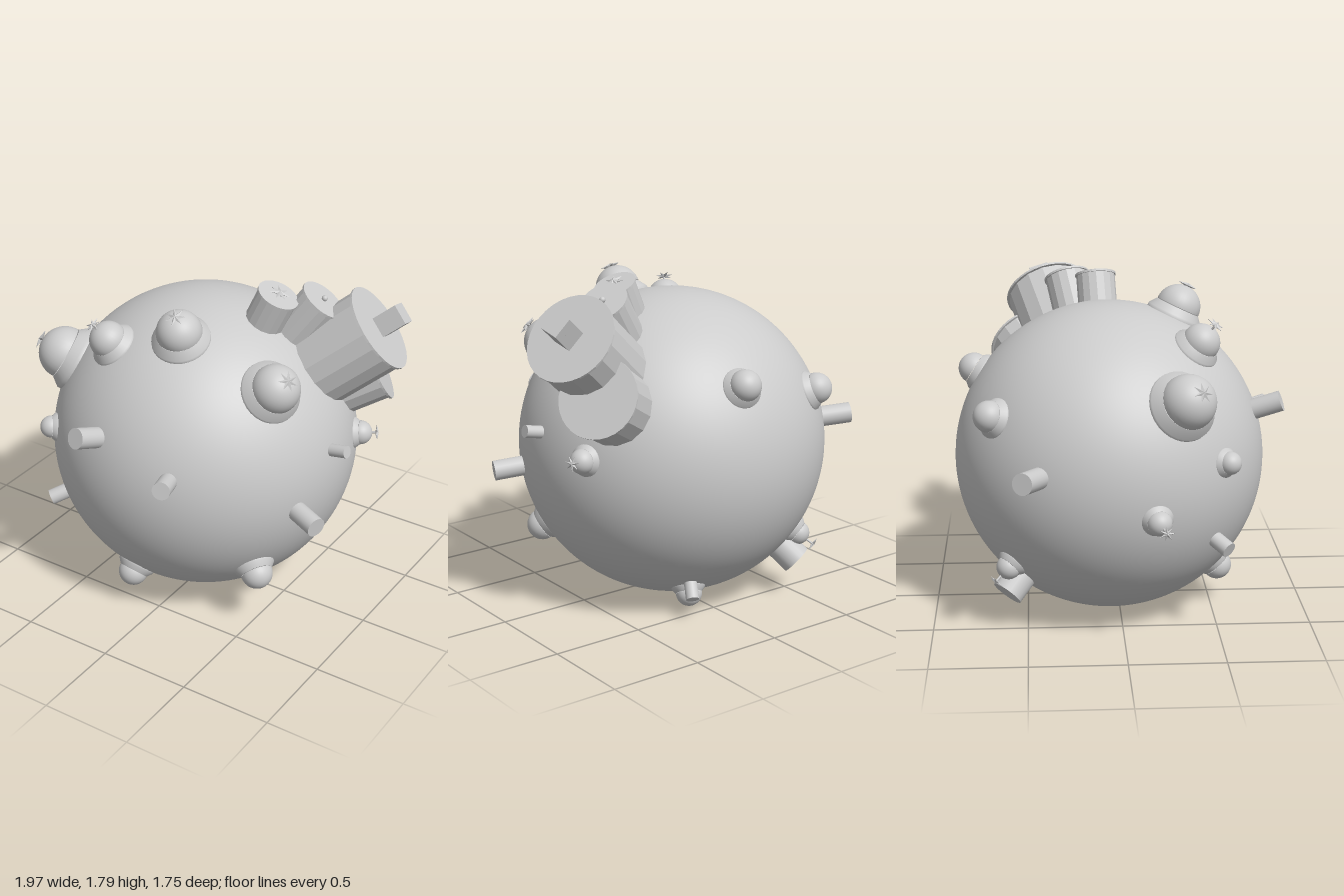
import * as THREE from 'three';

const CENTRE = new THREE.Vector3(-0.055, 0.835, -0.05);
const R = 0.83;
const UP = new THREE.Vector3(0, 1, 0);
const smooth = new THREE.MeshStandardMaterial({ color: 0xcccccc, side: THREE.DoubleSide });
const faceted = new THREE.MeshStandardMaterial({ color: 0xcccccc, flatShading: true });

export function createModel() {
  const model = new THREE.Group();
  model.name = 'studdedPlanet';

  function add(parent, name, geometry, y = 0, material = smooth) {
    const mesh = new THREE.Mesh(geometry, material);
    mesh.name = name;
    mesh.position.y = y;
    parent.add(mesh);
    return mesh;
  }

  // A group whose local +y points outward from the planet's centre
  function outward(name, dir) {
    const group = new THREE.Group();
    group.name = name;
    group.position.copy(CENTRE);
    group.quaternion.setFromUnitVectors(UP, new THREE.Vector3(...dir).normalize());
    model.add(group);
    return group;
  }

  // Seven-pointed star, a flat double pyramid
  function starGeometry(radius) {
    const geo = new THREE.SphereGeometry(radius, 14, 2);
    const p = geo.attributes.position, uv = geo.attributes.uv;
    for (let i = 0; i < p.count; i++) {
      const k = Math.round(uv.getX(i) * 14) % 2 ? 0.38 : 1;
      p.setXYZ(i, p.getX(i) * k, p.getY(i) * 0.22, p.getZ(i) * k);
    }
    return geo;
  }

  // Half-ball dome with a flared skirt, optionally topped with a star on a stem
  function dome(dir, r, starAt = 0, starR = 0.045) {
    const group = outward('dome', dir);
    const profile = [[1.28, -0.5], [1.27, -0.36], [1.0, -0.02]].map(([a, b]) => new THREE.Vector2(a * r, b * r));
    const centre = R + 0.38 * r;
    add(group, 'skirt', new THREE.LatheGeometry(profile, 32), centre);
    add(group, 'cap', new THREE.SphereGeometry(r, 32, 12, 0, Math.PI * 2, 0, Math.PI / 2), centre);
    if (starAt) {
      const base = centre + r * 0.9;
      const height = Math.max(starAt - base, 0.02);
      add(group, 'stem', new THREE.CylinderGeometry(0.006, 0.006, height, 8), base + height / 2);
      add(group, 'star', starGeometry(starR), starAt, faceted);
    }
  }

  // Round peg standing out to the given distance from the centre
  function peg(dir, r, end) {
    const group = outward('peg', dir);
    add(group, 'post', new THREE.CylinderGeometry(r, r, end - 0.75, 24), (end + 0.75) / 2);
  }

  // Faceted tower with a thin overhanging lid
  function tower(dir, r, end, sides = 16) {
    const group = outward('tower', dir);
    add(group, 'wall', new THREE.CylinderGeometry(r * 0.97, r * 0.97, end - 0.7, sides), (end + 0.7) / 2, faceted);
    add(group, 'lid', new THREE.CylinderGeometry(r * 1.02, r * 1.02, 0.012, sides * 2), end - 0.006, faceted);
    return group;
  }

  add(model, 'planet', new THREE.SphereGeometry(R, 96, 64)).position.copy(CENTRE);

  // Large starred domes
  dome([0.1, 0.9, 0.43], 0.12, 1.0, 0.055);
  dome([-0.755, 0.51, 0.41], 0.143, 1.035, 0.055);
  dome([-0.345, 0.775, 0.53], 0.1, 1.0, 0.05);
  dome([0.687, 0.652, 0.319], 0.128, 1.02, 0.055);

  // Small starred domes
  dome([-0.957, -0.15, 0.248], 0.065, 0.97, 0.042);
  dome([0.926, 0.11, -0.36], 0.065, 0.945, 0.042);
  dome([-0.52, -0.565, -0.64], 0.065, 0.96, 0.04);

  // Plain domes
  dome([-0.605, 0.115, 0.58], 0.06);
  dome([-0.085, -0.615, 0.58], 0.08);
  dome([0.585, -0.485, 0.4], 0.085);
  dome([0.085, 0.46, -0.72], 0.083);
  dome([-0.475, 0.34, -0.63], 0.083);
  dome([0.2, -0.72, -0.42], 0.07);

  // Pegs
  peg([-0.195, 0.33, 0.9], 0.055, 0.98);
  peg([0.32, 0.19, 0.89], 0.047, 0.965);
  peg([-0.63, -0.34, 0.58], 0.042, 0.93);
  peg([0.91, -0.105, 0.36], 0.053, 0.985);
  peg([0.9, 0.185, 0.05], 0.033, 0.925);
  peg([-0.885, 0.105, -0.47], 0.056, 1.0);
  peg([0.24, -0.66, -0.49], 0.035, 0.92);
  peg([-0.45, -0.66, -0.58], 0.085, 0.95);

  // Tower cluster: the tallest carries a box, the others a ball and a star
  const tall = tower([0.86, 0.735, -0.32], 0.235, 1.18);
  add(tall, 'box', new THREE.BoxGeometry(0.11, 0.14, 0.11), 1.26, faceted);
  add(tall, 'boxStar', starGeometry(0.06), 1.28, faceted);
  tower([0.8, 0.46, -0.46], 0.205, 1.03);
  const middle = tower([0.59, 0.87, -0.21], 0.125, 1.07);
  add(middle, 'ball', new THREE.SphereGeometry(0.016, 16, 10), 1.08);
  const low = tower([0.41, 0.91, -0.055], 0.11, 1.0);
  add(low, 'star', starGeometry(0.058), 1.015, faceted);

  return model;
}
